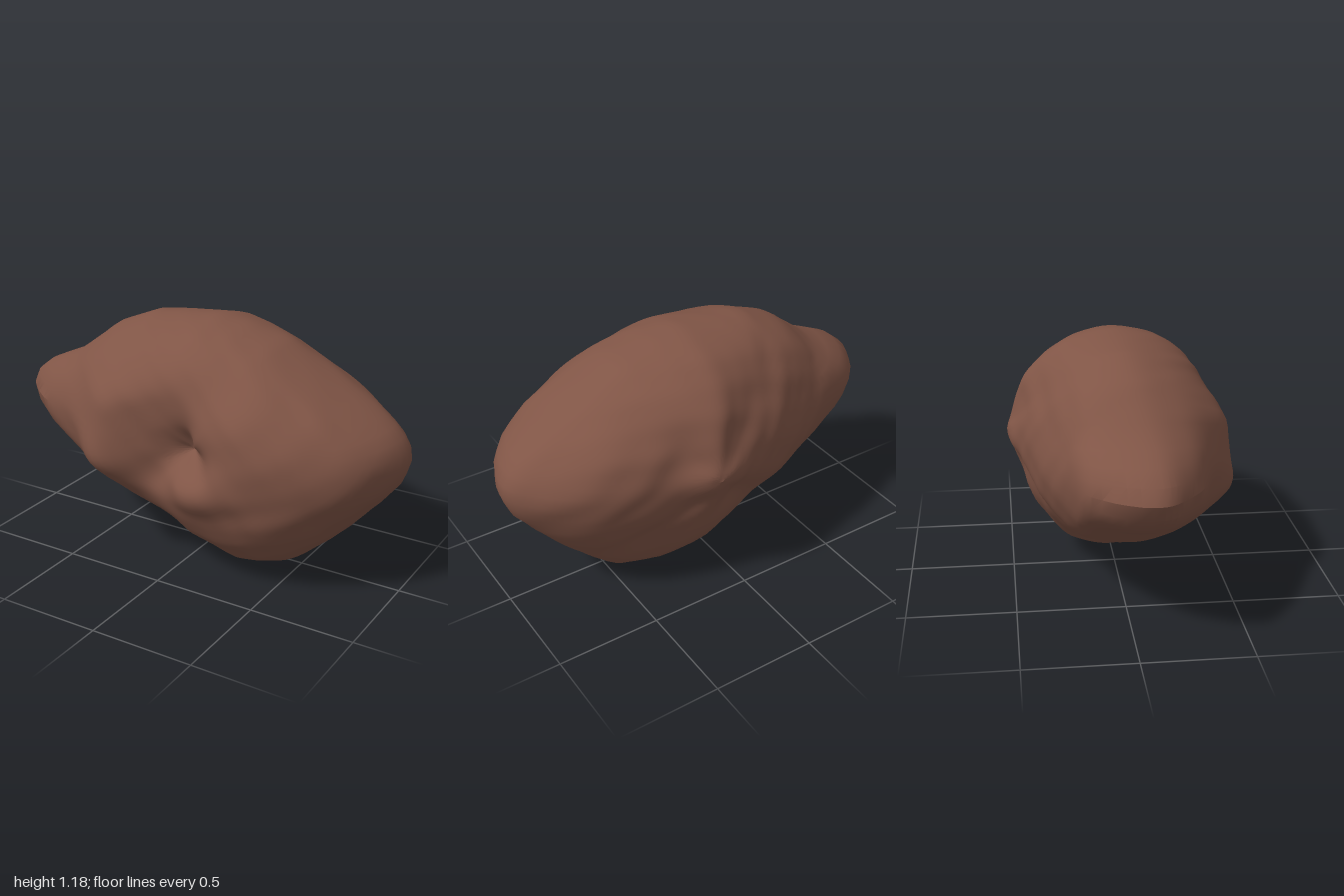
import * as THREE from 'three';
import { mergeVertices, toCreasedNormals } from 'three/addons/utils/BufferGeometryUtils.js';

const COLUMNS = 96, STEPS = 6;
const TAU = Math.PI * 2;

// Outline of the rock in the XY plane, counter-clockwise from the +x end
const OUTLINE = [
  [1, .65], [.98, .72], [.93, .78], [.8, .87], [.6, .98], [.38, 1.1], [.2, 1.155], [.05, 1.18], [-.3, 1.15], [-.5, 1.07],
  [-.7, .91], [-.93, .81], [-1, .72], [-.96, .62], [-.88, .545], [-.6, .41], [-.4, .28], [-.2, .19], [-.02, .14],
  [.05, .07], [.3, 0], [.5, .045], [.72, .24], [.88, .42], [.97, .53],
];
const CENTRE = [.1, .63];

// Meridians every 45 degrees: depth z at each station, front pit to back knob
const STATIONS = [0, .1, .25, .5, .75, .92, 1, .92, .75, .5, .25, .08, 0];
const DEPTHS = [
  [.40, .48, .47, .385, .24, -.05, -.19, -.325, -.40, -.445], // +x
  [.40, .45, .43, .34, .21, -.05, -.16, -.28, -.38, -.44],
  [.35, .39, .40, .33, .2, 0, -.18, -.32, -.43, -.48],        // top
  [.37, .41, .43, .33, .18, .02, -.16, -.27, -.37, -.45],
  [.38, .44, .47, .36, .25, .1, -.19, -.285, -.39, -.455],    // -x
  [.39, .43, .42, .32, .19, .04, -.18, -.29, -.38, -.45],
  [.42, .49, .43, .32, .18, -.04, -.21, -.31, -.41, -.46],    // bottom
  [.42, .49, .44, .36, .21, -.06, -.16, -.27, -.36, -.43],
];

// Local swellings and hollows on the front: x, y, height, radius
const LUMPS = [[-.37, .54, .055, .14], [.22, .47, .015, .1], [-.05, .52, -.03, .12], [.1, .62, -.02, .08], [.42, .85, .03, .16], [-.3, .85, .03, .16]];

const polar = OUTLINE.map(([x, y]) => {
  const dx = x - CENTRE[0], dy = y - CENTRE[1];
  return { a: (Math.atan2(dy, dx) + TAU) % TAU, dx, dy };
}).sort((p, q) => p.a - q.a);

// Distance from the centre to the outline along one direction
function outlineRadius(angle) {
  const turn = (angle + TAU) % TAU;
  let k = polar.findIndex((p) => p.a > turn);
  if (k < 0) k = 0;
  const p = polar[(k + polar.length - 1) % polar.length], q = polar[k];
  const ex = q.dx - p.dx, ey = q.dy - p.dy;
  return (p.dx * ey - p.dy * ex) / (Math.cos(angle) * ey - Math.sin(angle) * ex);
}

// Inner rings are rounder than the outer one
function ringRadius(angle, s) {
  let round = 0;
  for (let k = -4; k <= 4; k++) round += outlineRadius(angle + k * .13) / 9;
  return s * THREE.MathUtils.lerp(round, outlineRadius(angle), Math.min(1, s ** 4));
}

const meridians = DEPTHS.map((d) => new THREE.CatmullRomCurve3(
  [.34, ...d, -.505, -.515].map((z, i) => new THREE.Vector3(STATIONS[i], z, 0))));

// Periodic cubic blend of the eight meridians
function profile(angle, t) {
  const u = angle / TAU * 8, i = Math.floor(u), f = u - i;
  const pts = [-1, 0, 1, 2].map((o) => meridians[(i + o + 8) % 8].getPoint(t));
  const w = [
    (-f + 2 * f * f - f ** 3) / 2, (2 - 5 * f * f + 3 * f ** 3) / 2,
    (f + 4 * f * f - 3 * f ** 3) / 2, (f ** 3 - f * f) / 2,
  ];
  return pts.reduce((sum, p, k) => sum.addScaledVector(p, w[k]), new THREE.Vector3());
}

function lumps(x, y) {
  return LUMPS.reduce((sum, [lx, ly, h, r]) => sum + h * Math.exp(-((x - lx) ** 2 + (y - ly) ** 2) / (r * r)), 0);
}

// Fine roughness
function roughness(x, y, z) {
  return .004 * Math.sin(9 * x + 5 * y + 2) * Math.sin(11 * y - 6 * z)
    + .003 * Math.sin(19 * x - 13 * z + 1) * Math.sin(21 * y + 8 * x)
    + .002 * Math.sin(37 * y + 15 * x) * Math.sin(29 * z - 23 * x);
}

function rockGeometry() {
  const rows = (STATIONS.length - 1) * STEPS;
  const pos = [], index = [];
  for (let i = 0; i <= rows; i++) {
    for (let j = 0; j < COLUMNS; j++) {
      const angle = j / COLUMNS * TAU;
      const p = profile(angle, i / rows);
      const pole = i === 0 || i === rows;
      const s = pole ? 0 : p.x, r = ringRadius(angle, s);
      // The back knob sits a little higher and further to +x than the front pit
      const shift = i > rows / 2 ? Math.max(0, 1 - s) : 0;
      const x = CENTRE[0] + Math.cos(angle) * r + .05 * shift;
      const y = CENTRE[1] + Math.sin(angle) * r + .035 * shift;
      const b = pole ? 0 : roughness(x, y, p.y);
      const edge = Math.min(1, Math.abs(p.y) * 5) * Math.sign(p.y);
      const lump = i < rows / 2 ? lumps(x, y) * Math.max(0, edge) : 0;
      const k = 1 + b * .6;
      pos.push(x * k, CENTRE[1] + (y - CENTRE[1]) * k, p.y + b * edge * 1.3 + lump);
    }
  }
  for (let i = 0; i < rows; i++) {
    for (let j = 0; j < COLUMNS; j++) {
      const n = (j + 1) % COLUMNS;
      const a = i * COLUMNS + j, b = a + COLUMNS, c = (i + 1) * COLUMNS + n, d = i * COLUMNS + n;
      // Each pole ring is a single point, so it takes one triangle per column
      if (i < rows - 1) index.push(a, b, c);
      if (i > 0) index.push(a, c, d);
    }
  }

  const geometry = new THREE.BufferGeometry();
  geometry.setAttribute('position', new THREE.Float32BufferAttribute(pos, 3));
  geometry.setIndex(index);
  geometry.computeBoundingBox();
  const box = geometry.boundingBox;
  geometry.translate(-(box.max.x + box.min.x) / 2, -box.min.y, -(box.max.z + box.min.z) / 2);
  return toCreasedNormals(mergeVertices(geometry), .5);
}

export function createModel() {
  const group = new THREE.Group();
  group.name = 'asteroid';
  const stone = new THREE.MeshStandardMaterial({ color: 0x805546 });
  stone.name = 'reddish brown stone';
  const rock = new THREE.Mesh(rockGeometry(), stone);
  rock.name = 'rock';
  group.add(rock);
  return group;
}
